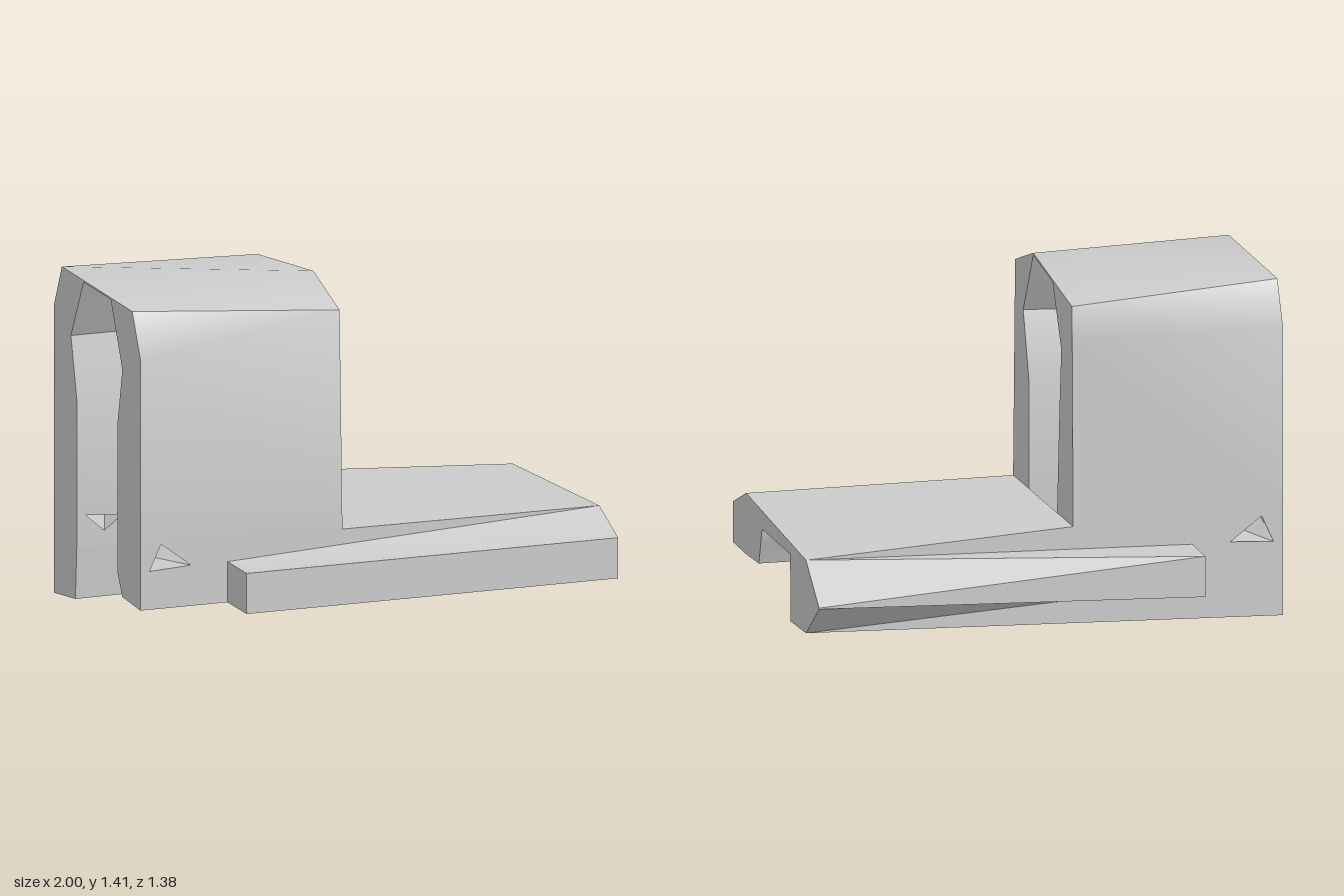
import * as THREE from 'three';
import { toCreasedNormals } from 'three/addons/utils/BufferGeometryUtils.js';

const solid = new THREE.MeshStandardMaterial({ color: 0xcccccc });
const thin = new THREE.MeshStandardMaterial({ color: 0xcccccc, side: THREE.DoubleSide });

function buildMesh(name, positions, material) {
  const geo = new THREE.BufferGeometry();
  geo.setAttribute('position', new THREE.Float32BufferAttribute(positions, 3));
  geo.computeVertexNormals();
  const mesh = new THREE.Mesh(toCreasedNormals(geo, 0.5), material);
  mesh.name = name;
  return mesh;
}

// Solid between two [z, y] sections at x0 and x1; listed edges stay open
function loft(name, x0, x1, a, b, open = []) {
  const pos = [];
  const A = a.map(([z, y]) => [x0, y, z]);
  const B = b.map(([z, y]) => [x1, y, z]);
  for (let i = 0; i < A.length; i++) {
    if (open.includes(i)) continue;
    const j = (i + 1) % A.length;
    pos.push(...A[i], ...B[i], ...A[j], ...A[j], ...B[i], ...B[j]);
  }
  const cap = (section, pts, flip) => {
    const contour = section.map(([z, y]) => new THREE.Vector2(z, y));
    for (const [p, q, r] of THREE.ShapeUtils.triangulateShape(contour, [])) {
      pos.push(...pts[p], ...pts[flip ? r : q], ...pts[flip ? q : r]);
    }
  };
  cap(a, A, false);
  cap(b, B, true);
  return buildMesh(name, pos, solid);
}

// Flat wall in the xy plane with a triangular opening
function panel(name, outline, hole, z) {
  const shape = new THREE.Shape(outline.map(([x, y]) => new THREE.Vector2(x, y)));
  shape.holes.push(new THREE.Path(hole.map(([x, y]) => new THREE.Vector2(x, y))));
  const mesh = new THREE.Mesh(new THREE.ShapeGeometry(shape), thin);
  mesh.position.z = z;
  mesh.name = name;
  return mesh;
}

// Twisted lining joining the outer and inner openings of a leg
function holeLining(name, outer, inner, zOuter, zInner) {
  const pos = [];
  for (let i = 0; i < 3; i++) {
    const j = (i + 1) % 3;
    const a = [...outer[i], zOuter], b = [...outer[j], zOuter];
    const c = [...inner[i], zInner], d = [...inner[j], zInner];
    pos.push(...a, ...b, ...c, ...b, ...d, ...c);
  }
  return buildMesh(name, pos, thin);
}

export function createModel() {
  const model = new THREE.Group();
  model.name = 'archedBracket';
  const back = -1, mid = -0.12, front = 1, split = 0.45;

  // Arched hood: outer outline, then inner outline
  const hoodBack = [
    [0.48, 0.15], [0.48, split], [0.48, 1.2], [0.39, 1.38], [-0.39, 1.385],
    [-0.48, 1.2], [-0.48, split], [-0.48, 0], [-0.24, 0.03], [-0.225, 0.25],
    [-0.225, split], [-0.225, 0.87], [-0.29, 1.12], [-0.15, 1.375], [0.15, 1.375],
    [0.28, 1.11], [0.225, 0.87], [0.225, split], [0.225, 0.25], [0.28, 0.16],
  ];
  const hoodFront = [
    [0.48, 0.15], [0.48, split], [0.45, 1.32], [0.16, 1.415], [-0.46, 1.34],
    [-0.465, 1.2], [-0.48, split], [-0.48, 0.022], [-0.24, 0.035], [-0.225, 0.25],
    [-0.225, split], [-0.262, 0.87], [-0.29, 1.12], [-0.15, 1.37], [0.16, 1.405],
    [0.32, 1.14], [0.23, 0.87], [0.225, split], [0.225, 0.25], [0.28, 0.16],
  ];
  model.add(loft('hood', back, mid, hoodBack, hoodFront, [0, 6, 9, 17]));

  // Pierced lower walls of both legs
  const outerHole = [[-0.91, 0.42], [-0.96, 0.31], [-0.78, 0.32]];
  const innerHole = [[-0.96, 0.38], [-0.88, 0.31], [-0.8, 0.37]];
  for (const [side, s, y0, y1] of [['left', 1, 0.15, 0.15], ['right', -1, 0, 0.022]]) {
    const wall = (b, f) => [[back, b], [mid, f], [mid, split], [back, split]];
    model.add(
      panel(side + 'OuterWall', wall(y0, y1), outerHole, s * 0.48),
      panel(side + 'InnerWall', wall(0.25, 0.25), innerHole, s * 0.225),
      holeLining(side + 'HoleLining', outerHole, innerHole, s * 0.48, s * 0.225),
    );
  }

  // Front deck with the channel below
  model.add(loft('deck', mid, front,
    [[0.48, 0.15], [0.48, 0.41], [-0.48, 0.425], [-0.48, 0.022], [-0.24, 0.035],
      [-0.225, 0.25], [-0.225, 0.32], [0.225, 0.315], [0.225, 0.25], [0.28, 0.16]],
    [[0.48, 0.15], [0.48, 0.405], [-0.48, 0.355], [-0.48, 0.05], [-0.235, 0.04],
      [-0.228, 0.25], [-0.225, 0.32], [0.225, 0.315], [0.245, 0.25], [0.275, 0.16]]));

  // Side rails
  model.add(loft('frontRail', -0.62, front,
    [[0.48, 0.15], [0.69, 0.15], [0.69, 0.32], [0.48, 0.32]],
    [[0.48, 0.15], [0.69, 0.15], [0.69, 0.32], [0.48, 0.405]]));
  model.add(loft('backRail', -0.62, front,
    [[-0.48, 0.15], [-0.48, 0.32], [-0.69, 0.32], [-0.69, 0.15]],
    [[-0.48, 0.05], [-0.48, 0.355], [-0.69, 0.205], [-0.69, 0.2]]));

  return model;
}
